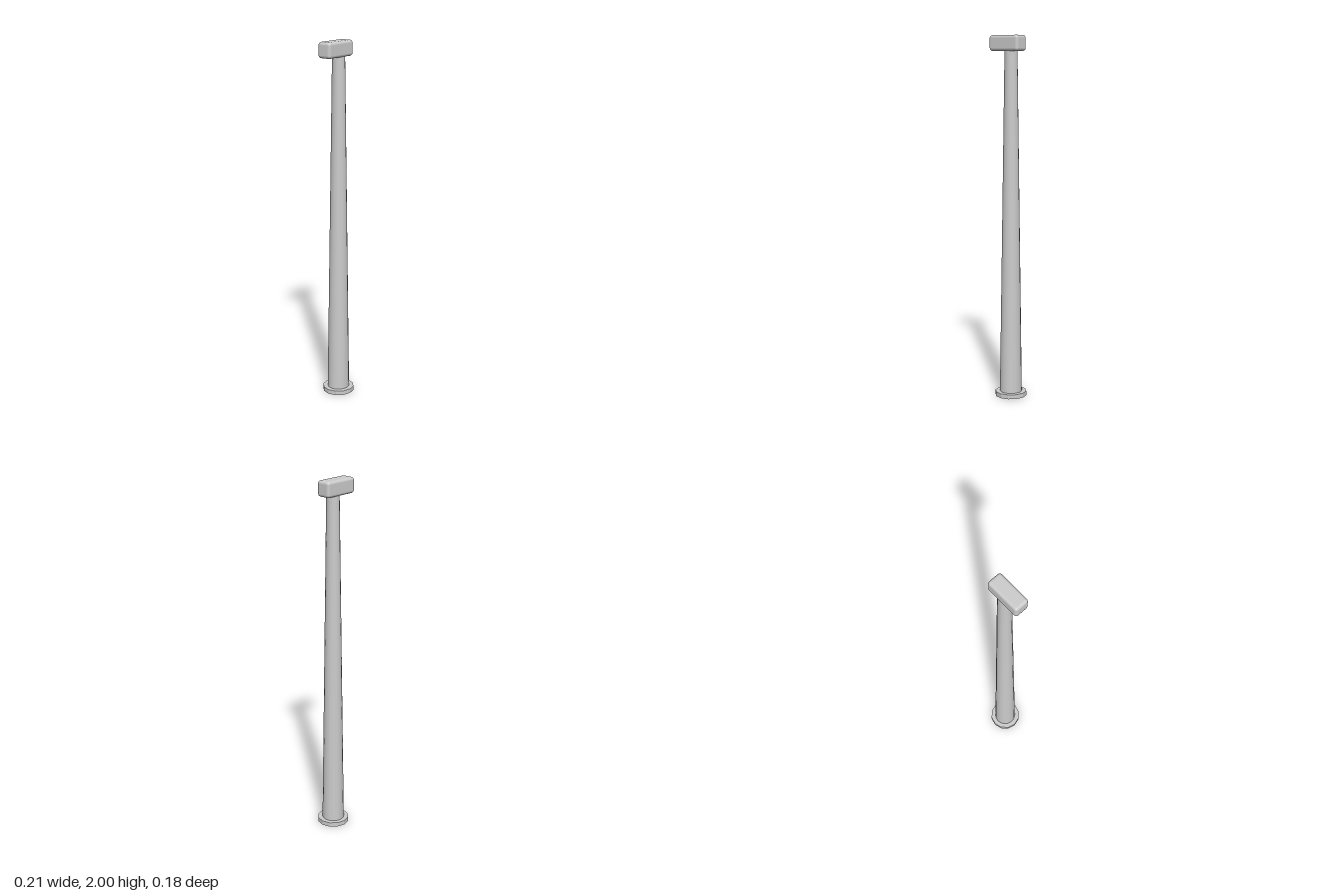
import * as THREE from 'three';
import { RoundedBoxGeometry } from 'three/addons/geometries/RoundedBoxGeometry.js';
import { toCreasedNormals } from 'three/addons/utils/BufferGeometryUtils.js';

const POLE_X = 0.018;

export function createModel() {
  const group = new THREE.Group();
  group.name = 'postWithHead';
  const material = new THREE.MeshStandardMaterial({ color: 0xcccccc });

  const add = (name, geometry, x, y) => {
    const mesh = new THREE.Mesh(geometry, material);
    mesh.name = name;
    mesh.position.set(x, y, 0);
    group.add(mesh);
  };

  // Twelve-sided foot flange
  const flange = new THREE.CylinderGeometry(0.088, 0.088, 0.025, 12);
  add('baseFlange', toCreasedNormals(flange, 0.4), POLE_X, 0.0125);

  // Tall tapered pole, running slightly into the flange and the head
  const pole = new THREE.CylinderGeometry(0.035, 0.062, 1.91, 16);
  add('pole', toCreasedNormals(pole, 0.6), POLE_X, 0.965);

  // Rounded block on top, set off to one side
  add('head', new RoundedBoxGeometry(0.2, 0.085, 0.083, 3, 0.016), -0.006, 1.9575);

  return group;
}
